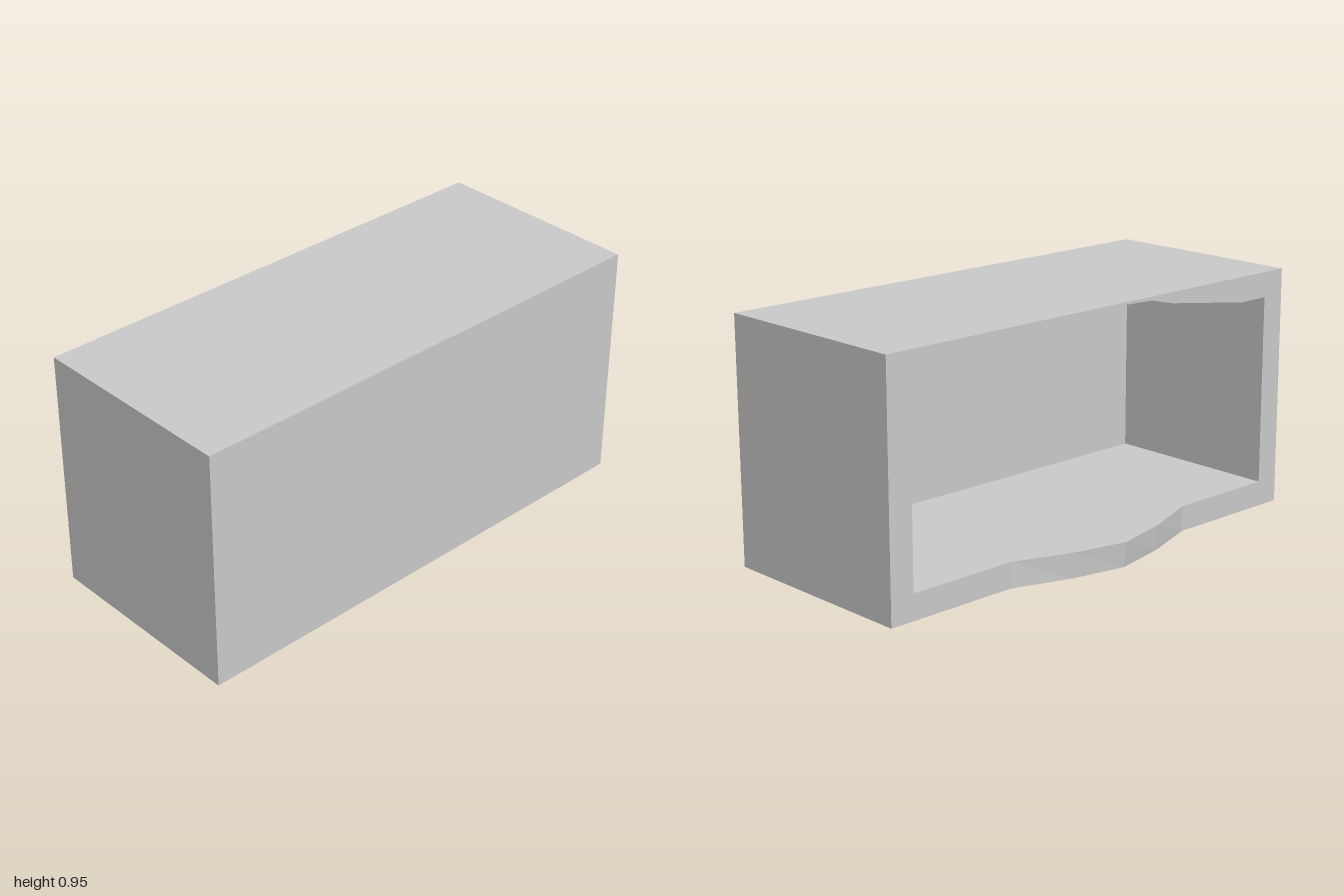
import * as THREE from 'three';

const FRONT = -0.35;   // plane of the open side
const BACK = 0.485;    // outer face of the closed side
const WALL = 0.1;
const HEIGHT = 0.95;

function toShape(points) {
  return new THREE.Shape(points.map(([x, y]) => new THREE.Vector2(x, y)));
}

export function createModel() {
  const group = new THREE.Group();
  const material = new THREE.MeshStandardMaterial({ color: 0xcccccc, flatShading: true });
  const add = (name, geometry) => {
    const mesh = new THREE.Mesh(geometry, material);
    mesh.name = name;
    group.add(mesh);
  };

  // Rectangular frame with an arched ceiling, swept along x
  const half = [[0.9, WALL], [0.9, HEIGHT - WALL], [0.77, HEIGHT - WALL], [0.375, 0.907], [0.26, 0.935]];
  const mirrored = half.map(([z, y]) => [-z, y]).reverse();
  const outline = toShape([[-1, 0], [1, 0], [1, HEIGHT], [-1, HEIGHT]]);
  outline.holes.push(toShape([...half, [0, 0.945], ...mirrored]));
  const frame = new THREE.ExtrudeGeometry(outline, { depth: BACK - WALL - FRONT, bevelEnabled: false });
  frame.rotateY(Math.PI / 2).translate(FRONT, 0, 0);
  add('frame', frame);

  // Closed wall opposite the opening
  const wall = new THREE.BoxGeometry(WALL, HEIGHT, 2);
  wall.translate(BACK - WALL / 2, HEIGHT / 2, 0);
  add('backWall', wall);

  // Pointed floor lip projecting from the opening, slightly undercut
  const lip = new THREE.ExtrudeGeometry(
    toShape([[FRONT, -0.45], [FRONT, 0.45], [-0.435, 0.22], [-0.485, 0], [-0.435, -0.22]]),
    { depth: WALL, bevelEnabled: false });
  lip.rotateX(Math.PI / 2).translate(0, WALL, 0);
  const pos = lip.attributes.position;
  for (let i = 0; i < pos.count; i++) {
    if (pos.getY(i) < WALL / 2) pos.setX(i, FRONT + (pos.getX(i) - FRONT) * 0.925);
  }
  lip.computeVertexNormals();
  add('floorLip', lip);

  return group;
}
